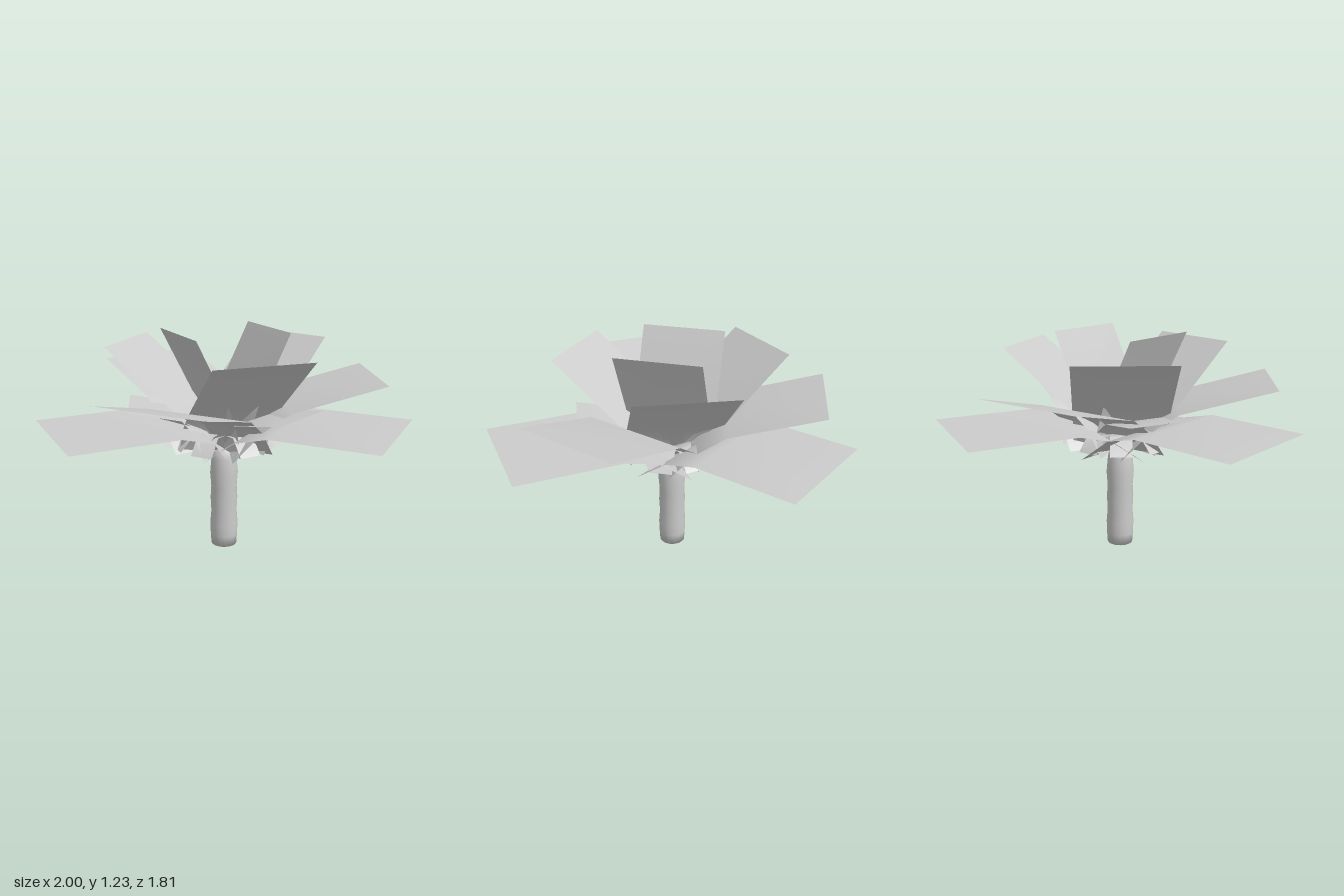
import * as THREE from 'three';

const mat = new THREE.MeshStandardMaterial({ color: 0xcccccc, side: THREE.DoubleSide });

// Flat card bent along a [radius, height] profile, running out from the trunk axis
function leafGeometry(width, profile) {
  const geo = new THREE.PlaneGeometry(1, 1, 1, profile.length - 1);
  const pos = geo.attributes.position;
  for (let i = 0; i < pos.count; i++) {
    const [r, y] = profile[profile.length - 1 - Math.floor(i / 2)];
    pos.setXYZ(i, r, y, pos.getX(i) * width);
  }
  geo.computeVertexNormals();
  return geo;
}

// Leaf tiers: card width, bend profile and directions in degrees (0 = +x, 90 = +z)
const tiers = [
  { name: 'flatLeaf', width: 0.66, angles: [30, 158.5, 270],
    profile: [[0.02, 0.58], [0.21, 0.72], [0.39, 0.765], [0.953, 0.765]] },
  { name: 'spreadingLeaf', width: 0.595, angles: [0, 120, 240],
    profile: [[0.02, 0.58], [0.17, 0.74], [0.32, 0.84], [0.82, 0.975]] },
  { name: 'risingLeaf', width: 0.525, angles: [75, 204, 315],
    profile: [[0.02, 0.58], [0.09, 0.73], [0.2, 0.84], [0.575, 1.145]] },
  { name: 'uprightLeaf', width: 0.465, angles: [158, 338],
    profile: [[0.02, 0.58], [0.04, 0.72], [0.09, 0.87], [0.27, 1.225]] },
  { name: 'lowerLeaf', width: 0.4, angles: [45, 180],
    profile: [[0.01, 0.58], [0.1, 0.7], [0.23, 0.785], [0.515, 0.835]] },
  { name: 'droopingLeaflet', width: 0.12, angles: [25, 65, 120, 160, 205, 245, 295, 335],
    profile: [[0.02, 0.58], [0.1, 0.68], [0.2, 0.69], [0.28, 0.6]] },
  { name: 'innerLeaflet', width: 0.12, angles: [20, 130, 160, 200, 320, 350],
    profile: [[0.02, 0.58], [0.07, 0.69], [0.17, 0.79]] },
];

export function createModel() {
  const model = new THREE.Group();
  const plant = new THREE.Group();
  plant.name = 'plant';
  plant.position.set(0.012, 0, 0.045);
  model.add(plant);

  // Trunk with soft ring bulges and a tapered top
  const outline = [[0, 0], [0.072, 0], [0.076, 0.06], [0.078, 0.13], [0.072, 0.2], [0.076, 0.28],
    [0.072, 0.35], [0.078, 0.43], [0.07, 0.52], [0.057, 0.585], [0, 0.59]];
  const trunk = new THREE.Mesh(
    new THREE.LatheGeometry(outline.map(([r, y]) => new THREE.Vector2(r, y)), 16), mat);
  trunk.name = 'trunk';
  plant.add(trunk);

  // Crown
  const crown = new THREE.Group();
  crown.name = 'crown';
  plant.add(crown);
  for (const { name, width, angles, profile } of tiers) {
    const geo = leafGeometry(width, profile);
    for (const angle of angles) {
      const leaf = new THREE.Mesh(geo, mat);
      leaf.name = name;
      leaf.rotation.y = -THREE.MathUtils.degToRad(angle);
      crown.add(leaf);
    }
  }
  return model;
}
